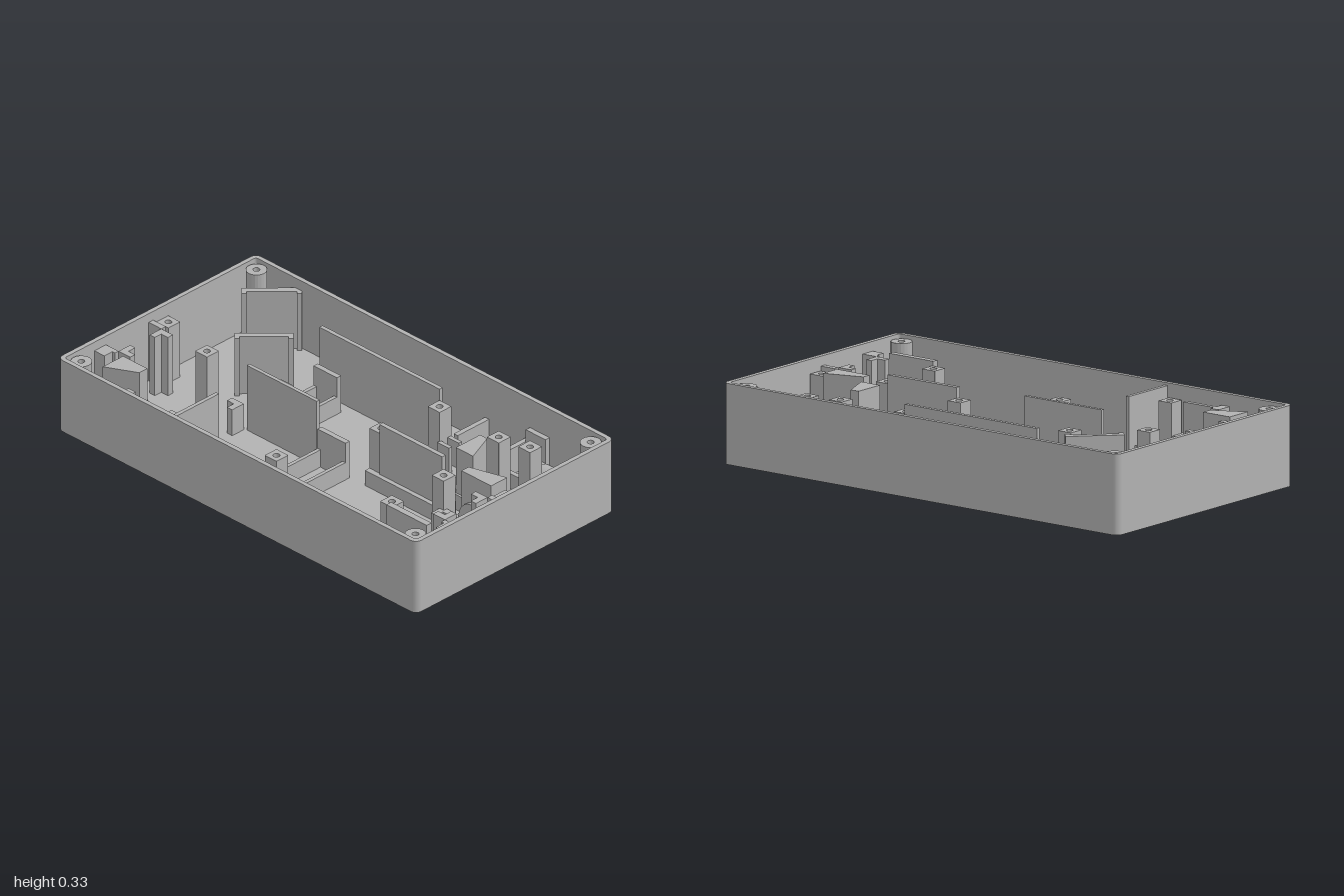
import * as THREE from 'three';

export function createModel() {
  const model = new THREE.Group();
  const grey = new THREE.MeshStandardMaterial({ color: 0xb2b2b2 });
  grey.name = 'grey plastic';
  const FLOOR = 0.02;

  const add = (name, geometry, parent = model) => {
    const mesh = new THREE.Mesh(geometry, grey);
    mesh.name = name;
    parent.add(mesh);
    return mesh;
  };
  // Upright block standing on the floor, given by its plan extents and top height
  const block = (name, x0, x1, z0, z1, top, parent = model) => {
    const h = top - FLOOR;
    const m = add(name, new THREE.BoxGeometry(x1 - x0, h, z1 - z0), parent);
    m.position.set((x0 + x1) / 2, FLOOR + h / 2, (z0 + z1) / 2);
    return m;
  };
  // Plan shape (x, -z) raised from y0 to y1
  const raise = (name, shape, y0, y1) => {
    const g = new THREE.ExtrudeGeometry(shape, { depth: y1 - y0, bevelEnabled: false, curveSegments: 10 });
    g.rotateX(-Math.PI / 2);
    const m = add(name, g);
    m.position.y = y0;
    return m;
  };
  const roundRect = (target, w, d, r) => {
    const x = w / 2, y = d / 2;
    target.moveTo(-x + r, -y);
    target.lineTo(x - r, -y);
    target.absarc(x - r, -y + r, r, -Math.PI / 2, 0);
    target.lineTo(x, y - r);
    target.absarc(x - r, y - r, r, 0, Math.PI / 2);
    target.lineTo(-x + r, y);
    target.absarc(-x + r, y - r, r, Math.PI / 2, Math.PI);
    target.lineTo(-x, -y + r);
    target.absarc(-x + r, -y + r, r, Math.PI, Math.PI * 1.5);
    return target;
  };
  const hole = (x, y, r) => new THREE.Path().absarc(x, y, r, 0, Math.PI * 2, true);

  // Tray: floor pierced at the corners, thin surrounding wall
  const corners = [[-1, -1], [1, -1], [1, 1], [-1, 1]].map(([a, b]) => [a * 0.932, b * 0.492]);
  const floor = roundRect(new THREE.Shape(), 2, 1.115, 0.03);
  corners.forEach(([x, z]) => floor.holes.push(hole(x, z, 0.014)));
  raise('floor', floor, 0, FLOOR);
  const wall = roundRect(new THREE.Shape(), 2, 1.115, 0.03);
  wall.holes.push(roundRect(new THREE.Path(), 1.96, 1.075, 0.012));
  raise('outerWall', wall, FLOOR, 0.33);

  // Corner screw bosses
  corners.forEach(([x, z]) => {
    const s = new THREE.Shape().absarc(0, 0, 0.043, 0, Math.PI * 2);
    s.holes.push(hole(0, 0, 0.014));
    const m = raise('cornerBoss', s, FLOOR, 0.315);
    m.position.x = x;
    m.position.z = z;
  });

  // Square screw posts
  const post = (x, z, top) => {
    const s = roundRect(new THREE.Shape(), 0.066, 0.066, 0.001);
    s.holes.push(hole(0, 0, 0.014));
    const m = raise('screwPost', s, FLOOR, top);
    m.position.x = x;
    m.position.z = z;
  };
  [[-0.945, -0.01], [0.935, -0.01], [-0.68, 0.04], [0.27, -0.31], [0.6, -0.31], [0.223, -0.03],
    [0.74, -0.345], [0.65, 0.05], [0.645, 0.335], [-0.43, 0.49]].forEach(([x, z]) => post(x, z, 0.275));

  // Thin partition walls
  block('longPartition', -0.44, 0.23, -0.368, -0.35, 0.32);
  block('middlePartition', -0.44, -0.05, 0.042, 0.058, 0.32);
  block('frontPartition', -0.382, -0.365, 0.29, 0.535, 0.32);

  // Diagonal plates with end lips
  [[-0.81, -0.455, 0.24], [-0.59, -0.19, 0.235]].forEach(([x, z, len]) => {
    const plate = new THREE.Group();
    plate.name = 'diagonalPlate';
    block('plate', -len / 2, len / 2, -0.022, 0.006, 0.285, plate);
    [-1, 1].forEach(s => {
      const e = s * (len / 2 - 0.01);
      block('plateLip', e - 0.01, e + 0.01, 0.006, 0.022, 0.285, plate);
    });
    plate.position.set(x, 0, z);
    plate.rotation.y = Math.PI / 4;
    model.add(plate);
  });

  // Channel cradles: end plate, two side rails and a screw post
  [[-0.4, -0.27, -0.3, 0.005], [-0.05, 0.105, 0.03, 0.395]].forEach(([x0, x1, z0, z1]) => {
    block('cradleEnd', x0, x1, z0, z0 + 0.023, 0.19);
    block('cradleRail', x0, x0 + 0.016, z0 + 0.023, z1, 0.1);
    block('cradleRail', x1 - 0.016, x1, z0 + 0.023, z1, 0.1);
    post((x0 + x1) / 2, z1 - 0.033, 0.235);
  });

  // L-shaped corner guide opening along sx, sz
  const guide = (x, z, sx, sz, top) => {
    const arm = 0.065, t = 0.028;
    const s = new THREE.Shape([[0, 0], [arm, 0], [arm, t], [t, t], [t, arm], [0, arm]]
      .map(([a, b]) => new THREE.Vector2(x + a * sx, -(z + b * sz))));
    raise('cornerGuide', s, FLOOR, top);
  };
  // Component pockets: [x0, x1, z0, z1, top on the left side, top on the right side]
  [[-0.91, -0.45, 0.065, 0.305, 0.29, 0.14], [0.66, 0.91, 0.065, 0.305, 0.14, 0.29]]
    .forEach(([x0, x1, z0, z1, hl, hr]) => {
      [[z0, 1], [z1, -1]].forEach(([z, sz]) => {
        guide(x0, z, 1, sz, hl);
        guide(x1, z, -1, sz, hr);
      });
      // Rails tying the pocket to the nearest tray side
      const [a, b] = x0 < 0 ? [-0.98, -0.91] : [0.91, 0.98];
      block('sideRail', a, b, 0.04, 0.065, 0.29);
      block('sideRail', a, b, 0.305, 0.325, 0.29);
      block('sideStop', x0 < 0 ? -0.98 : 0.925, x0 < 0 ? -0.925 : 0.98, 0.325, 0.37, 0.29);
    });
  block('pocketBackPlate', 0.67, 0.895, 0.365, 0.392, 0.295);
  block('pocketFoot', 0.61, 0.905, 0.305, 0.392, 0.09);

  // Rear pocket
  guide(0.3, -0.055, 1, -1, 0.14);
  guide(0.545, -0.055, -1, -1, 0.14);
  block('rearRail', 0.3, 0.322, -0.535, -0.36, 0.14);
  block('rearRail', 0.523, 0.545, -0.535, -0.36, 0.14);
  [-0.34, -0.285].forEach(z => {
    block('rearStop', 0.3, 0.365, z, z + 0.018, 0.14);
    block('rearStop', 0.48, 0.56, z, z + 0.018, 0.14);
  });
  block('rearPocketPlate', 0.25, 0.6, -0.012, 0.008, 0.32);
  block('rearPocketFoot', 0.19, 0.61, -0.06, 0.028, 0.09);
  block('rearSidePlate', 0.55, 0.66, -0.535, -0.512, 0.2);
  block('rearSideRail', 0.635, 0.66, -0.512, -0.36, 0.09);
  block('rearSideFoot', 0.55, 0.635, -0.38, -0.36, 0.09);

  // Front bracket against the tray wall
  block('frontBracket', -0.695, -0.655, 0.465, 0.535, 0.28);
  block('frontBracketPlate', -0.655, -0.5, 0.485, 0.505, 0.28);
  block('frontBracketFoot', -0.5, -0.397, 0.465, 0.535, 0.14);

  // Wedge supports: low base, tapered column and a round rest on one side
  const wedge = (base, pts, rest) => {
    block('wedgeBase', ...base, 0.09);
    raise('wedgeColumn', new THREE.Shape(pts.map(([x, z]) => new THREE.Vector2(x, -z))), 0.09, 0.3);
    const [x, z, r, alongX] = rest;
    const g = new THREE.CylinderGeometry(r, r, 0.016, 24);
    if (alongX) g.rotateZ(Math.PI / 2); else g.rotateX(Math.PI / 2);
    add('roundRest', g).position.set(x, 0.1, z);
  };
  wedge([0.683, 0.888, -0.095, 0.025], [[0.705, -0.035], [0.87, -0.085], [0.87, 0.005], [0.705, 0.005]],
    [0.785, 0.014, 0.08, false]);
  wedge([0.545, 0.675, -0.255, -0.095], [[0.565, -0.24], [0.605, -0.24], [0.66, -0.105], [0.565, -0.105]],
    [0.555, -0.175, 0.07, true]);
  wedge([-0.88, -0.71, 0.31, 0.465], [[-0.86, 0.33], [-0.725, 0.33], [-0.725, 0.375], [-0.86, 0.445]],
    [-0.795, 0.32, 0.07, false]);

  // Rear connector barrel with flange
  [[0.745, 0.07, 0.055], [0.788, 0.016, 0.062]].forEach(([x, len, r]) => {
    const g = new THREE.CylinderGeometry(r, r, len, 28);
    g.rotateZ(Math.PI / 2);
    add('connectorBarrel', g).position.set(x, FLOOR + 0.062, -0.44);
  });

  return model;
}
